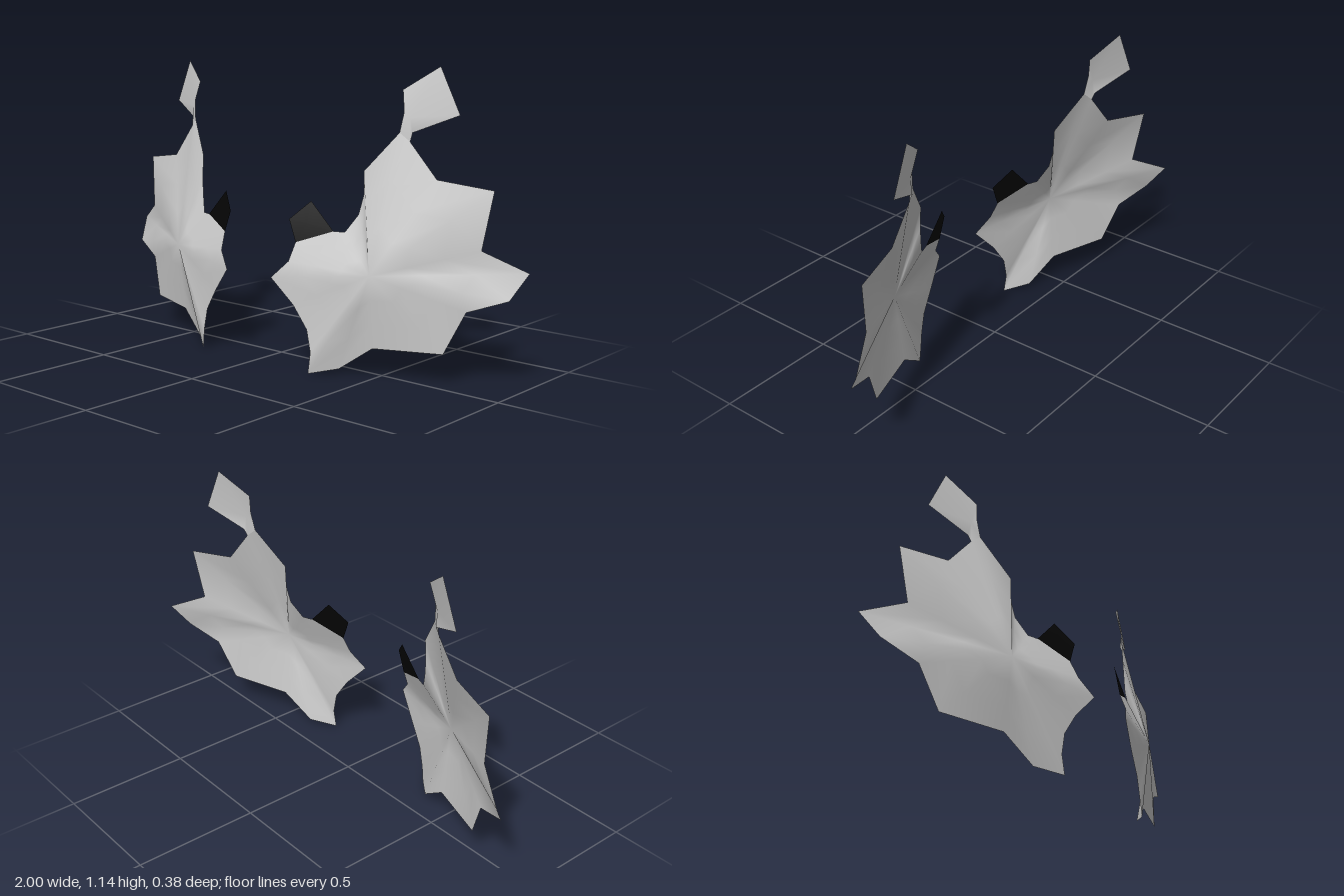
import * as THREE from 'three';

// Outline of the main sheet (left side), clockwise from the outer tip
const SHEET = [
  [1.0, 0.425, -0.19], [0.96, 0.33, -0.122], [0.817, 0.277, -0.07], [0.747, 0.118, -0.032],
  [0.495, 0.113, 0.055], [0.367, 0.02, 0.092], [0.277, 0.0, 0.165], [0.28, 0.08, 0.155],
  [0.262, 0.165, 0.155], [0.203, 0.253, 0.165], [0.115, 0.35, 0.192], [0.175, 0.415, 0.16],
  [0.185, 0.485, 0.13], [0.325, 0.535, 0.077], [0.367, 0.535, 0.062], [0.405, 0.6, 0.03],
  [0.42, 0.675, 0.018], [0.417, 0.762, 0.015], [0.528, 0.905, -0.05], [0.565, 0.873, -0.065],
  [0.677, 0.742, -0.077], [0.885, 0.715, -0.13], [0.853, 0.5, -0.105],
];
const SHEET_CENTRE = [0.5, 0.39, 0.087];

// Small blade standing on the top of the sheet
const BLADE = [
  [0.528, 0.905, -0.05], [0.54, 0.98, -0.06], [0.523, 1.06, -0.075], [0.645, 1.145, -0.135],
  [0.727, 0.972, -0.143], [0.565, 0.905, -0.08], [0.565, 0.873, -0.065],
];
const BLADE_CENTRE = [0.56, 0.96, -0.07];

// Dark flap on the inner upper edge
const FLAP = [
  [0.185, 0.485, 0.13], [0.153, 0.57, 0.13], [0.222, 0.64, 0.083], [0.325, 0.535, 0.077],
];
const FLAP_CENTRE = [0.221, 0.558, 0.105];

// Thin surface of concentric rings running from a centre point to an outline
function sheetGeometry(outline, centre, side, rings) {
  const n = outline.length;
  const positions = [centre[0] * side, centre[1], centre[2]];
  const index = [];
  for (let r = 1; r <= rings; r++) {
    for (const p of outline) {
      const [x, y, z] = p.map((v, k) => centre[k] + (v - centre[k]) * r / rings);
      positions.push(x * side, y, z);
    }
  }
  const tri = (a, b, c) => (side > 0 ? index.push(a, b, c) : index.push(a, c, b));
  for (let i = 0; i < n; i++) {
    const j = (i + 1) % n;
    tri(0, 1 + j, 1 + i);
    for (let r = 1; r < rings; r++) {
      const a = 1 + (r - 1) * n, b = a + n;
      tri(a + i, a + j, b + j);
      tri(a + i, b + j, b + i);
    }
  }
  const geometry = new THREE.BufferGeometry();
  geometry.setAttribute('position', new THREE.Float32BufferAttribute(positions, 3));
  geometry.setIndex(index);
  geometry.computeVertexNormals();
  return geometry;
}

export function createModel() {
  const model = new THREE.Group();
  model.name = 'pairedSheets';
  const grey = new THREE.MeshStandardMaterial({ color: 0xcccccc, side: THREE.DoubleSide });
  const black = new THREE.MeshStandardMaterial({ color: 0x050505, side: THREE.DoubleSide });

  for (const [name, side] of [['left', 1], ['right', -1]]) {
    const half = new THREE.Group();
    half.name = name + 'Half';
    const add = (part, outline, centre, rings, material) => {
      const mesh = new THREE.Mesh(sheetGeometry(outline, centre, side, rings), material);
      mesh.name = name + part;
      half.add(mesh);
    };
    add('Sheet', SHEET, SHEET_CENTRE, 3, grey);
    add('Blade', BLADE, BLADE_CENTRE, 1, grey);
    add('Flap', FLAP, FLAP_CENTRE, 1, black);
    model.add(half);
  }
  return model;
}
